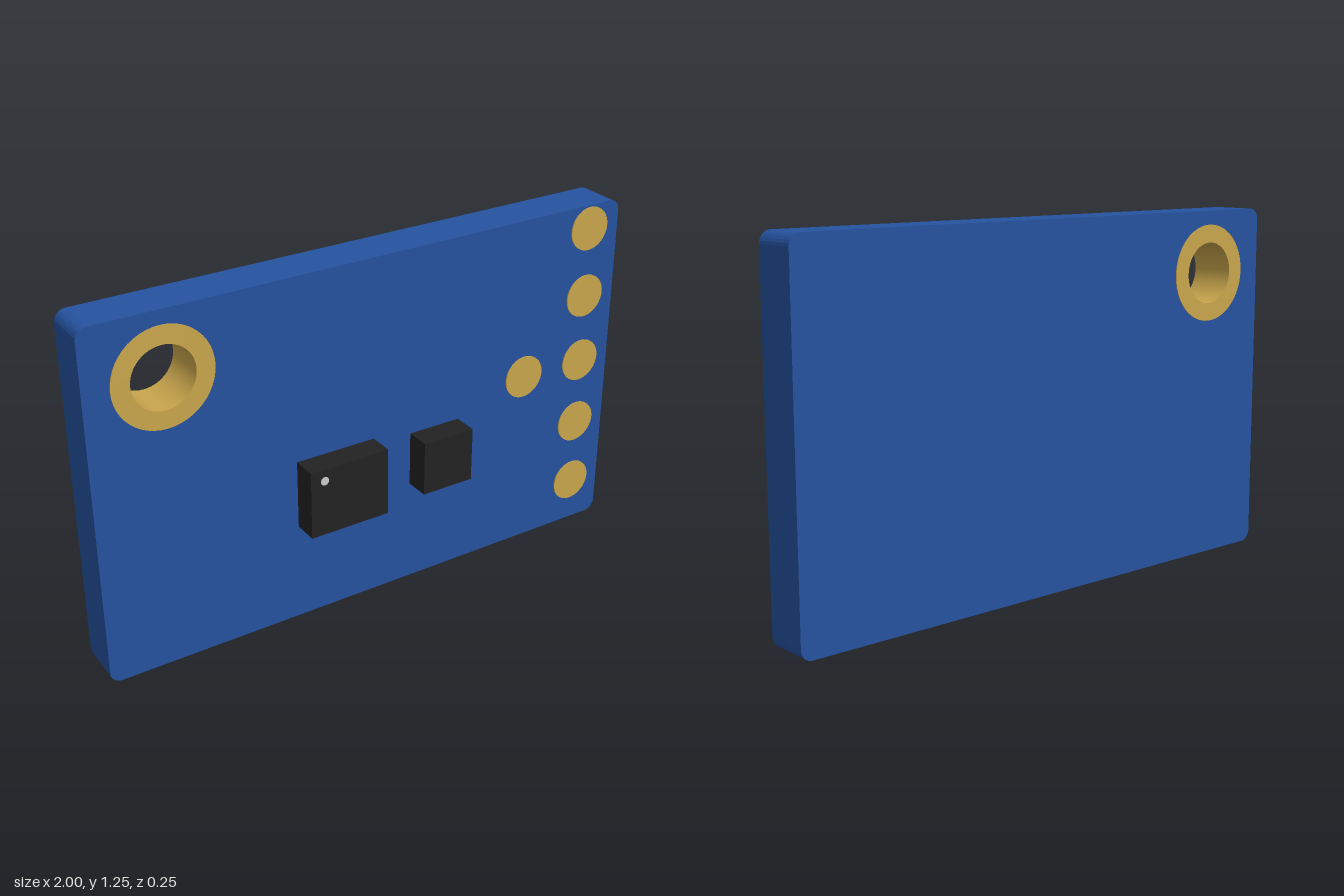
import * as THREE from 'three';
import { toCreasedNormals } from 'three/addons/utils/BufferGeometryUtils.js';

const W = 2, H = 1.25, BACK = -0.121, FRONT = 0.035, LIFT = 0.003;
const HOLE = { x: -0.74, y: 1.03, r: 0.108, rim: 0.171 };

const blue = new THREE.MeshStandardMaterial({ color: 0x2552a0 });
const gold = new THREE.MeshStandardMaterial({ color: 0xc9a64c });
const black = new THREE.MeshStandardMaterial({ color: 0x222222 });
const white = new THREE.MeshStandardMaterial({ color: 0xdddddd });

export function createModel() {
  const model = new THREE.Group();

  const add = (name, geometry, material, x = 0, y = 0, z = 0) => {
    const mesh = new THREE.Mesh(geometry, material);
    mesh.name = name;
    mesh.position.set(x, y, z);
    model.add(mesh);
    return mesh;
  };

  // Extrude a shape along z with smooth curves and sharp edges
  const extrude = (shape, depth) => toCreasedNormals(
    new THREE.ExtrudeGeometry(shape, { depth, bevelEnabled: false, curveSegments: 24 }), 0.6);

  const circle = (Type, x, y, r) => new Type().absarc(x, y, r, 0, Math.PI * 2, false);

  // Disc lying on a front surface
  const disc = (name, x, y, z, r, height, material) => {
    const geometry = new THREE.CylinderGeometry(r, r, height, 40).rotateX(Math.PI / 2);
    add(name, geometry, material, x, y, z + height / 2);
  };

  // Board with rounded corners and a mounting hole
  const c = 0.04, w = W / 2;
  const outline = new THREE.Shape();
  outline.absarc(w - c, c, c, -Math.PI / 2, 0, false);
  outline.absarc(w - c, H - c, c, 0, Math.PI / 2, false);
  outline.absarc(-w + c, H - c, c, Math.PI / 2, Math.PI, false);
  outline.absarc(-w + c, c, c, Math.PI, Math.PI * 1.5, false);
  outline.holes.push(circle(THREE.Path, HOLE.x, HOLE.y, HOLE.r + 0.002));
  add('board', extrude(outline, FRONT - BACK), blue, 0, 0, BACK);

  // Plated sleeve through the hole, with a rim on both faces
  const ring = circle(THREE.Shape, 0, 0, HOLE.rim);
  ring.holes.push(circle(THREE.Path, 0, 0, HOLE.r));
  add('mountingHoleRing', extrude(ring, FRONT - BACK + 2 * LIFT), gold, HOLE.x, HOLE.y, BACK - LIFT);

  // Contact pads: a column of five and one beside it
  for (let i = 0; i < 5; i++) {
    disc('contactPad' + (i + 1), 0.874, 0.166 + i * 0.25, FRONT, 0.078, LIFT + 0.001, gold);
  }
  disc('sidePad', 0.622, 0.666, FRONT, 0.078, LIFT + 0.001, gold);

  // Chips
  const top = 0.123, depth = top - FRONT;
  add('largeChip', new THREE.BoxGeometry(0.295, 0.246, depth), black, -0.149, 0.48, FRONT + depth / 2);
  add('smallChip', new THREE.BoxGeometry(0.197, 0.197, depth), black, 0.244, 0.48, FRONT + depth / 2);

  // Orientation dot on the large chip
  disc('chipDot', -0.245, 0.56, top, 0.015, 0.002, white);

  return model;
}
